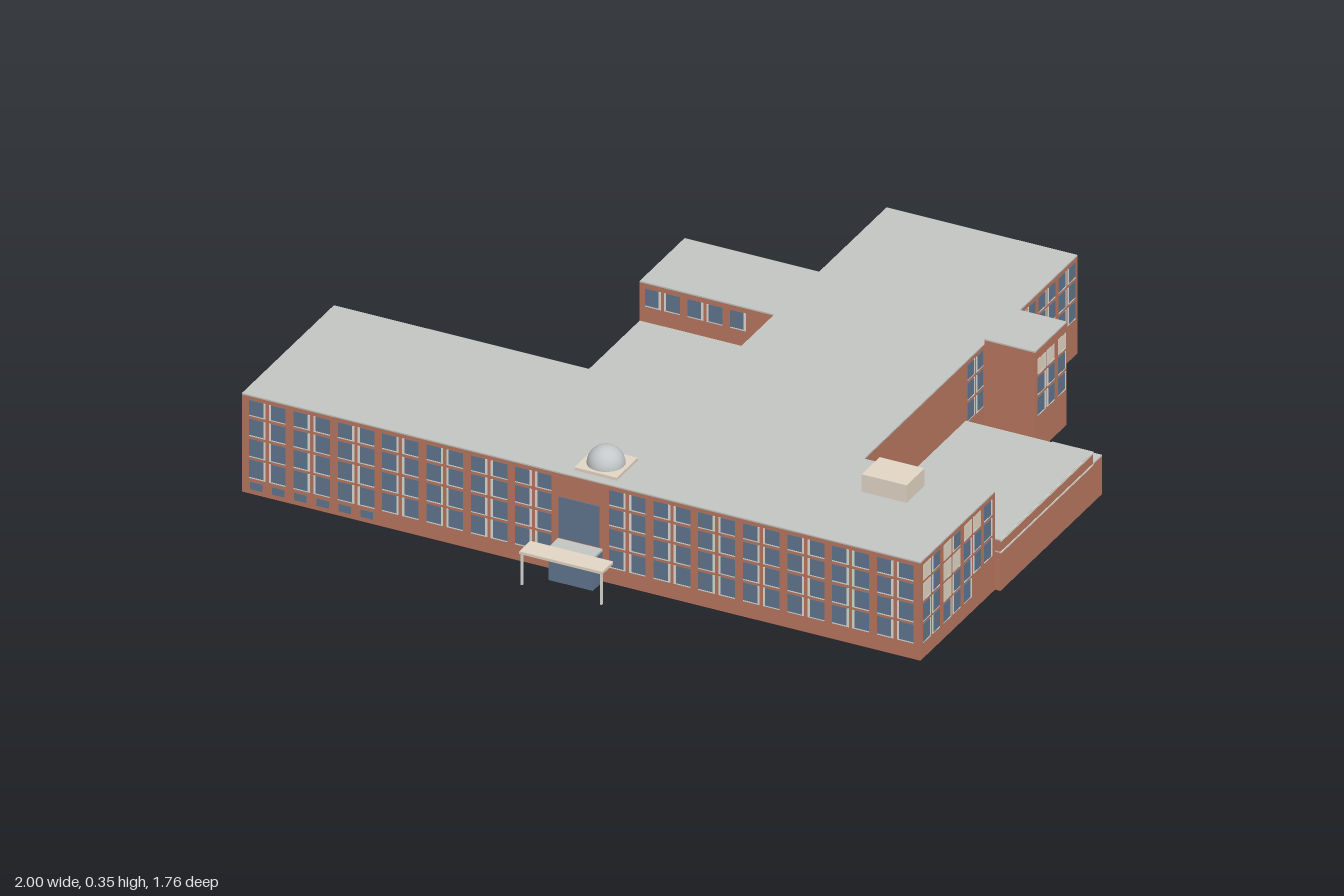
import * as THREE from 'three';
import { mergeGeometries } from 'three/addons/utils/BufferGeometryUtils.js';

const mat = (name, hex, side = THREE.FrontSide) => {
  const m = new THREE.MeshStandardMaterial({ color: hex, side });
  m.name = name;
  return m;
};

export function createModel() {
  const model = new THREE.Group();
  model.name = 'brickBuilding';
  const brick = mat('brick', 0xba7860, THREE.DoubleSide);
  const roofGrey = mat('roofGrey', 0xc4c6c3);
  const glass = mat('windowGlass', 0x627790);
  const cream = mat('cream', 0xe4d7c6);
  const skyGlass = mat('skylightGlass', 0xa3c0d6, THREE.DoubleSide);
  const domeGrey = mat('domeGrey', 0xc4c8ca);
  const trim = mat('paleTrim', 0xdfdfd8);

  const add = (name, geo, material, parent = model) => {
    const m = new THREE.Mesh(geo, material);
    m.name = name;
    parent.add(m);
    return m;
  };
  // Box between two corners
  const boxGeo = (x0, x1, y0, y1, z0, z1) =>
    new THREE.BoxGeometry(x1 - x0, y1 - y0, z1 - z0)
      .translate((x0 + x1) / 2, (y0 + y1) / 2, (z0 + z1) / 2);
  const box = (name, material, ...b) => add(name, boxGeo(...b), material);

  // Building block: four open-bottomed walls with a roof slab
  const block = (name, x0, x1, z0, z1, h) => {
    const g = new THREE.Group();
    g.name = name;
    const walls = boxGeo(x0, x1, 0, h - 0.004, z0, z1);
    const idx = Array.from(walls.index.array);
    walls.setIndex([...idx.slice(0, 12), ...idx.slice(24, 36)]);
    walls.clearGroups();
    add(name + 'Walls', walls, brick, g);
    add(name + 'Roof', boxGeo(x0, x1, h - 0.004, h, z0, z1), roofGrey, g);
    model.add(g);
  };

  block('mainLeft', -0.998, 0.043, 0.24, 0.765, 0.293);
  block('mainRight', 0.043, 0.982, 0.34, 0.765, 0.293);
  block('rearWing', 0.043, 0.6, -0.878, 0.34, 0.293);
  block('sideTower', 0.6, 0.748, -0.527, -0.347, 0.307);
  block('leftAnnex', -0.37, 0.043, -0.533, -0.277, 0.268);
  block('lowAnnex', -0.37, 0.043, -0.277, 0.24, 0.15);
  block('rightAnnex', 0.6, 0.998, -0.24, 0.34, 0.117);
  block('rightAnnexUpper', 0.88, 0.998, -0.187, 0.34, 0.153);
  box('annexUpperTrim', trim, 0.9985, 1, 0.146, 0.153, -0.187, 0.34);
  box('annexLowerTrim', trim, 0.9985, 1, 0.112, 0.117, -0.187, 0.34);

  // Sloped skylight against the wing
  const sky = new THREE.Shape([[-0.038, 0.15], [0.043, 0.15], [0.043, 0.24], [-0.038, 0.158]]
    .map(p => new THREE.Vector2(...p)));
  const skyGeo = new THREE.ExtrudeGeometry(sky, { depth: 0.517, bevelEnabled: false });
  add('skylight', skyGeo, skyGlass).position.z = -0.277;

  // Window grids: local x runs along the wall, z points outward
  const ROWS = [[0.235, 0.278], [0.175, 0.223], [0.113, 0.163], [0.05, 0.102]];
  const facade = (name, x, z, turn, length, cols, rows, opt = {}) => {
    const { panel = () => false, skip = () => false } = opt;
    const pitch = length / cols, w = pitch * 0.64;
    const panes = [], frames = [], blinds = [];
    rows.forEach(([y0, y1], r) => {
      for (let c = 0; c < cols; c++) {
        if (skip(c, r)) continue;
        const u = (c + 0.5) * pitch;
        (panel(c, r) ? blinds : panes).push(boxGeo(u - w / 2, u + w / 2, y0, y1, 0.0006, 0.0016));
        // Sill and a jamb on alternating sides
        frames.push(boxGeo(u - w / 2, u + w / 2, y0 - 0.003, y0, 0.0006, 0.002));
        const s = c % 2 ? -1 : 1, j = u + s * (w / 2 + 0.0035);
        frames.push(boxGeo(j - 0.003, j + 0.003, y0 - 0.003, y1, 0.0006, 0.002));
      }
    });
    const g = new THREE.Group();
    g.name = name;
    if (panes.length) add(name + 'Panes', mergeGeometries(panes), glass, g);
    add(name + 'Frames', mergeGeometries(frames), trim, g);
    if (blinds.length) add(name + 'Panels', mergeGeometries(blinds), cream, g);
    g.position.set(x, 0, z);
    g.rotation.y = turn * Math.PI / 2;
    model.add(g);
  };
  const R3 = ROWS.slice(0, 3), R2 = ROWS.slice(0, 2);
  const annexRows = [[0.2, 0.25], [0.135, 0.185]];

  facade('frontLeftWindows', -0.988, 0.765, 0, 0.906, 14, ROWS);
  facade('frontRightWindows', 0.062, 0.765, 0, 0.912, 14, ROWS);
  const panels = ['0,0', '2,0', '4,0', '5,0', '0,1', '2,1', '3,1', '2,2'];
  facade('rightEndWindows', 0.982, 0.762, 1, 0.407, 7, ROWS, {
    panel: (c, r) => panels.includes(c + ',' + r),
    skip: (c, r) => r === 3 && c > 4,
  });
  facade('leftEndWindows', -0.998, 0.247, -1, 0.51, 8, ROWS);
  facade('mainBackLeftWindows', -0.38, 0.24, 2, 0.61, 10, ROWS);
  facade('mainBackRightWindows', 0.975, 0.34, 2, 0.37, 6, R2);
  facade('wingRightWindows', 0.6, -0.53, 1, 0.343, 6, R3);
  facade('wingRightInnerWindows', 0.6, -0.241, 1, 0.105, 2, R3);
  facade('wingBackWindows', 0.597, -0.878, 2, 0.55, 9, R3);
  facade('wingLeftWindows', 0.043, -0.875, -1, 0.34, 6, R3);
  facade('towerWindows', 0.748, -0.35, 1, 0.174, 3, R3, { panel: (c, r) => r === 0 });
  facade('towerBackWindows', 0.745, -0.527, 2, 0.14, 2, R3);
  facade('annexBackWindows', 0.038, -0.533, 2, 0.4, 7, annexRows);
  facade('annexLeftWindows', -0.37, -0.527, -1, 0.245, 4, annexRows);
  facade('annexCourtWindows', -0.365, -0.277, 0, 0.31, 5, [[0.2, 0.25]]);

  // Basement windows
  for (let i = 0; i < 6; i++) {
    const x = -0.956 + i * 0.0647;
    box('basementWindow', glass, x - 0.018, x + 0.018, 0.014, 0.036, 0.7656, 0.767);
  }

  // Entrance glazing, vestibule, canopy and posts
  box('entranceGlazing', glass, -0.072, 0.045, 0.1, 0.222, 0.7656, 0.768);
  box('vestibule', glass, -0.075, 0.055, 0, 0.09, 0.7656, 0.822);
  box('vestibuleRoof', roofGrey, -0.075, 0.055, 0.09, 0.097, 0.7656, 0.82);
  box('canopy', cream, -0.13, 0.112, 0.092, 0.1, 0.817, 0.88);
  for (const x of [-0.125, 0.107])
    box('canopyPost', trim, x - 0.003, x + 0.003, 0, 0.092, 0.872, 0.878);

  // Rooftop dome and plant room
  box('domeBase', cream, -0.042, 0.082, 0.29, 0.302, 0.618, 0.738);
  add('dome', new THREE.SphereGeometry(0.051, 24, 12, 0, Math.PI * 2, 0, Math.PI / 2), domeGrey)
    .position.set(0.02, 0.301, 0.678);
  box('plantRoom', cream, 0.675, 0.806, 0.29, 0.345, 0.397, 0.5);

  return model;
}
